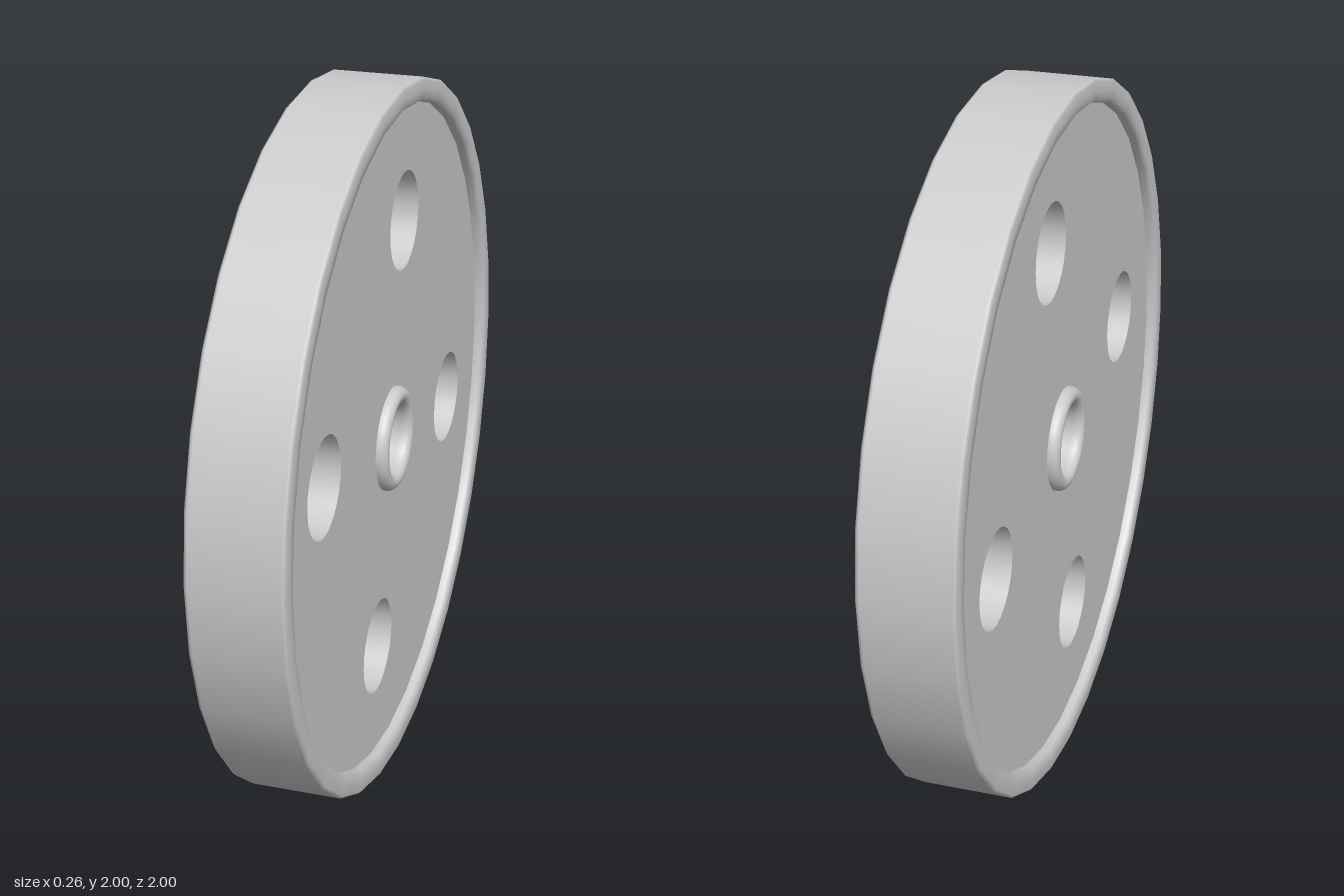
import * as THREE from 'three';
import { toCreasedNormals } from 'three/addons/utils/BufferGeometryUtils.js';

const SEG = 32;
const HALF = 0.131;  // half width of rim and hub
const DISC = 0.1;    // half thickness of the web disc
const material = new THREE.MeshStandardMaterial({ color: 0xcccccc });

const circle = (r, n, cx = 0, cy = 0) => Array.from({ length: n }, (_, i) => {
  const a = (i / n) * Math.PI * 2;
  return new THREE.Vector2(cx + r * Math.cos(a), cy + r * Math.sin(a));
});

// Revolves an upper half profile [radius, offset], mirrored, around the x axis.
// The profile runs from the outside of the ring to its inside.
function ring(name, upper) {
  const lower = upper.map(([r, h]) => [r, -h]).reverse();
  const points = [...lower, ...upper].map(([r, h]) => new THREE.Vector2(r, h));
  const geometry = new THREE.LatheGeometry(points, SEG);
  geometry.rotateZ(-Math.PI / 2);
  const mesh = new THREE.Mesh(geometry, material);
  mesh.name = name;
  return mesh;
}

export function createModel() {
  const wheel = new THREE.Group();
  wheel.name = 'wheel';

  // Web disc with four lightening holes and an opening for the hub
  const shape = new THREE.Shape(circle(0.936, SEG));
  shape.holes.push(new THREE.Path(circle(0.125, SEG).reverse()));
  for (let i = 0; i < 4; i++) {
    const a = (90 + 11.25 + i * 90) * Math.PI / 180;
    const hole = circle(0.138, 24, -0.61 * Math.cos(a), 0.61 * Math.sin(a));
    shape.holes.push(new THREE.Path(hole.reverse()));
  }
  let web = new THREE.ExtrudeGeometry(shape, { depth: 2 * DISC, bevelEnabled: false });
  web.translate(0, 0, -DISC);
  web.rotateY(Math.PI / 2);
  web = toCreasedNormals(web, 0.6);
  const disc = new THREE.Mesh(web, material);
  disc.name = 'webDisc';

  // Rim with softened edges, standing slightly proud of the disc
  const rim = ring('rim', [
    [1, 0.12], [1, 0.125], [0.993, HALF], [0.967, HALF],
    [0.945, HALF], [0.935, 0.12], [0.935, DISC - 0.005],
  ]);

  // Hub with rounded lips and a through bore
  const lip = [[0.148, DISC - 0.005]];
  for (let i = 0; i <= 8; i++) {
    const a = (i / 8) * Math.PI;
    lip.push([0.124 + 0.024 * Math.cos(a), 0.105 + 0.026 * Math.sin(a)]);
  }
  lip.push([0.1, DISC - 0.005], [0.1, 0]);
  const hub = ring('hub', lip);

  wheel.add(disc, rim, hub);
  wheel.position.y = 1;
  const group = new THREE.Group();
  group.add(wheel);
  return group;
}
